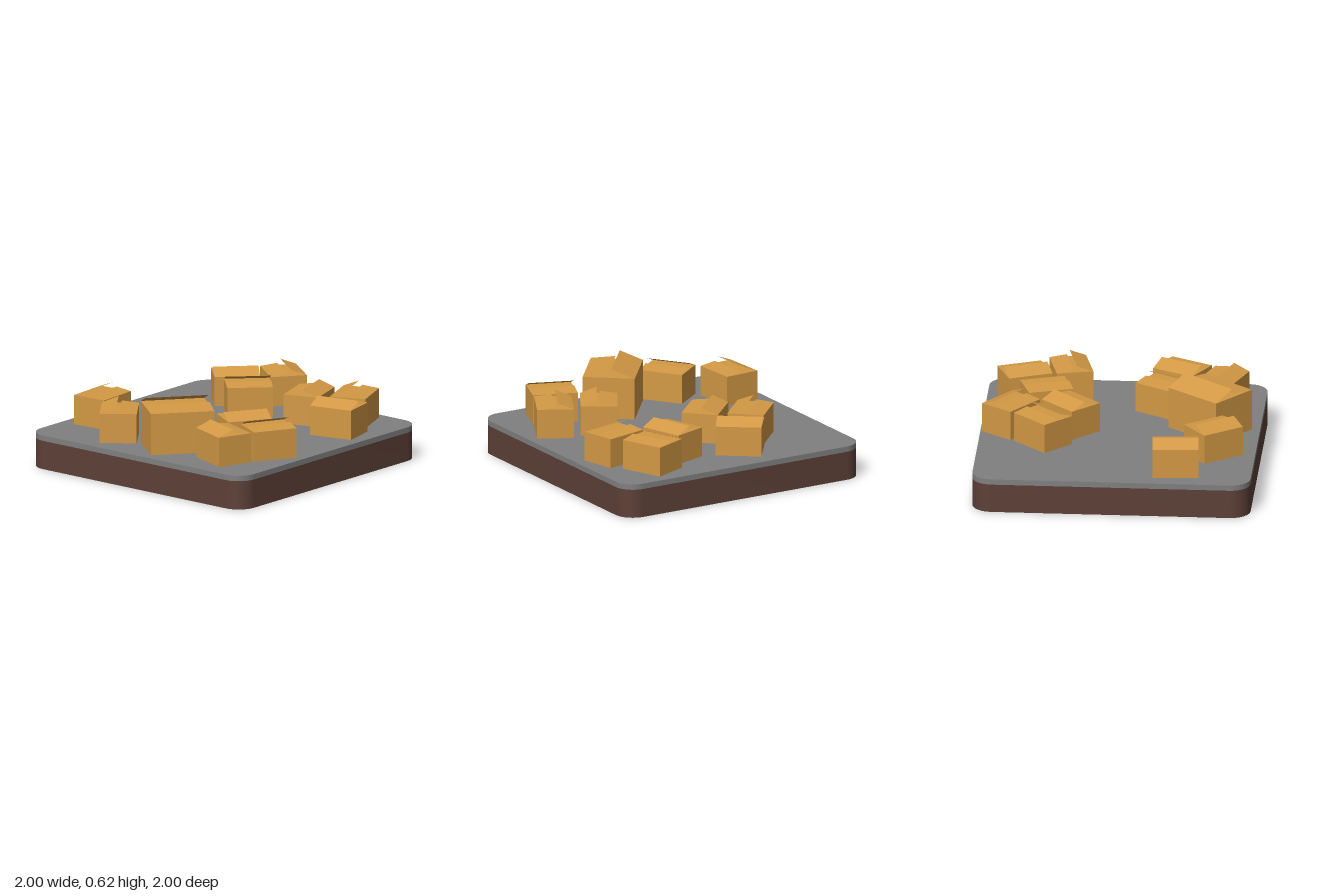
import * as THREE from 'three';
import { toCreasedNormals } from 'three/addons/utils/BufferGeometryUtils.js';

const card = new THREE.MeshStandardMaterial({ color: 0xd39945, side: THREE.DoubleSide });
const grey = new THREE.MeshStandardMaterial({ color: 0x808080 });
const brown = new THREE.MeshStandardMaterial({ color: 0x5d4037 });
const earth = new THREE.MeshStandardMaterial({ color: 0x8b6530 });

function mesh(name, geometry, material) {
  const m = new THREE.Mesh(geometry, material);
  m.name = name;
  return m;
}

// Square slab with rounded vertical corners, from y0 to y1
function slab(name, y0, y1, capMaterial, sideMaterial) {
  const r = 0.145, c = 1 - r;
  const shape = new THREE.Shape();
  [[c, -c], [c, c], [-c, c], [-c, -c]].forEach(([x, y], i) => {
    const a = (i - 1) * Math.PI / 2;
    shape.absarc(x, y, r, a, a + Math.PI / 2, false);
  });
  const g = new THREE.ExtrudeGeometry(shape, { depth: y1 - y0, bevelEnabled: false, curveSegments: 12 });
  g.rotateX(-Math.PI / 2).translate(0, y0, 0);
  return mesh(name, toCreasedNormals(g, 0.5), [capMaterial, sideMaterial]);
}

// Flap hinged on the back (side -1) or front (side 1) top edge, rising inwards
function flapGeometry(side, length, width, height, depth, angle) {
  const g = new THREE.PlaneGeometry(length, depth);
  g.rotateX(-Math.PI / 2).translate(0, 0, -depth / 2).rotateX(angle);
  if (side < 0) g.rotateY(Math.PI);
  return g.translate(0, height, side * width / 2);
}

// Carton with two loose top flaps; the steeper flap is on its back side
function carton(x, y, z, yaw, w) {
  const group = new THREE.Group();
  group.name = 'carton';
  const l = w * 1.23, h = w * 0.81, d = w * 0.478;
  group.add(
    mesh('cartonBody', new THREE.BoxGeometry(l, h, w).translate(0, h / 2, 0), card),
    mesh('raisedFlap', flapGeometry(-1, l, w, h, d, 0.37), card),
    mesh('loweredFlap', flapGeometry(1, l, w, h, d, 0.12), card)
  );
  group.position.set(x, y, z);
  group.rotation.y = yaw;
  return group;
}

export function createModel() {
  const model = new THREE.Group();
  model.name = 'cartonsOnBase';

  // Base: soil block with a paved top
  model.add(slab('soilBase', 0, 0.21, earth, brown));
  model.add(slab('pavedTop', 0.21, 0.25, grey, grey));

  // Cartons: x, y, z, yaw, width
  const S = 0.267, LOW = 0.254, HIGH = 0.285;
  [
    [-0.453, LOW, -0.758, 0.07, S],
    [-0.70, LOW, -0.392, 0.644, S],
    [-0.642, LOW, 0.104, -0.678, 0.377],
    [-0.293, LOW, 0.436, 2.598, S],
    [-0.698, LOW, 0.583, 1.212, S],
    [-0.396, LOW, 0.749, -0.486, S],
    [0.529, HIGH, -0.336, 2.368, S],
    [0.348, HIGH, -0.063, -0.785, S],
    [0.777, HIGH, -0.095, -2.207, S],
    [0.551, LOW, 0.333, -2.815, S],
    [0.727, LOW, 0.612, 0.395, S],
    [0.402, LOW, 0.738, 1.806, S],
  ].forEach((c) => model.add(carton(...c)));

  return model;
}
